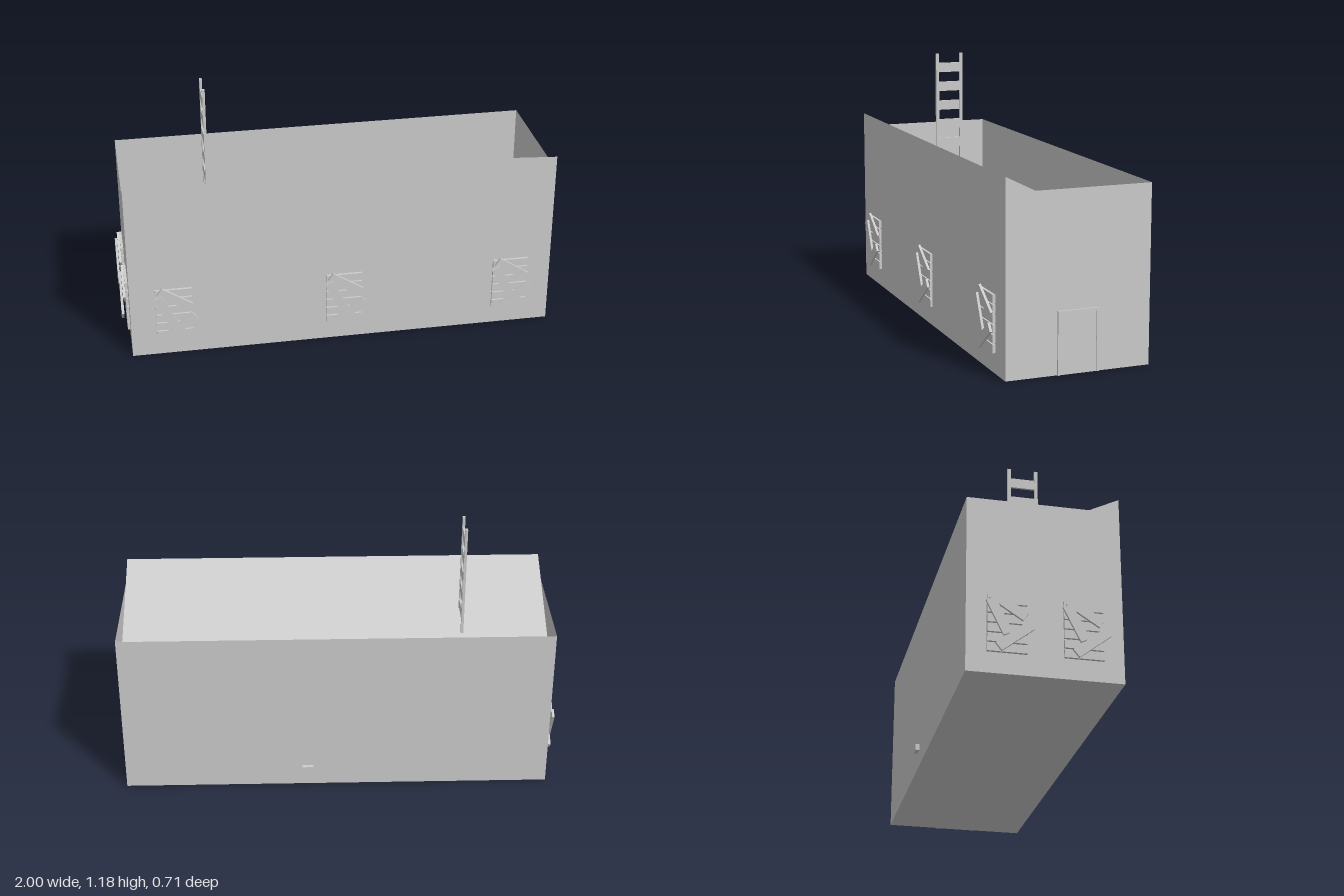
import * as THREE from 'three';

const X0 = -0.965, X1 = 0.992, ZF = 0.318, ZB = -0.335;
const WALL = 0.785, RIDGE = 0.85, SLOPE = 0.5;
const ROOF_BACK = RIDGE - SLOPE * (ZF - ZB);

const solid = new THREE.MeshStandardMaterial({ color: 0xcccccc });
const sheet = new THREE.MeshStandardMaterial({ color: 0xcccccc, side: THREE.DoubleSide });

function box(parent, name, size, pos, angle = 0) {
  const m = new THREE.Mesh(new THREE.BoxGeometry(...size), solid);
  m.name = name;
  m.position.set(...pos);
  m.rotation.z = angle;
  parent.add(m);
  return m;
}

// Flat panel spanning xa..xb between two (y, z) edges
function panel(parent, name, xa, xb, [y0, z0], [y1, z1]) {
  const g = new THREE.BufferGeometry();
  g.setAttribute('position', new THREE.Float32BufferAttribute(
    [xa, y0, z0, xb, y0, z0, xb, y1, z1, xa, y1, z1], 3));
  g.setIndex([0, 1, 2, 0, 2, 3]);
  g.computeVertexNormals();
  const m = new THREE.Mesh(g, sheet);
  m.name = name;
  parent.add(m);
}

// Thin-walled building with a shed roof sunk behind the back and end walls
function makeBuilding() {
  const g = new THREE.Group();
  g.name = 'building';
  panel(g, 'frontWall', X0, X1, [0, ZF], [RIDGE, ZF]);
  panel(g, 'backWall', X1, X0, [0, ZB], [WALL, ZB]);
  panel(g, 'floor', X0, X1, [0, ZB], [0, ZF]);
  // Roof in two panels meeting at a seam
  panel(g, 'roofRight', X0, -0.4, [RIDGE, ZF], [ROOF_BACK, ZB]);
  panel(g, 'roofLeft', -0.4, X1, [RIDGE, ZF], [ROOF_BACK, ZB]);
  // End walls; shape x runs along -z
  const kink = ZF - (RIDGE - WALL) / SLOPE;
  const profile = new THREE.Shape([
    [-ZF, 0], [-ZB, 0], [-ZB, WALL], [-kink, WALL], [-ZF, RIDGE],
  ].map(p => new THREE.Vector2(...p)));
  for (const [name, x] of [['leftEndWall', X1], ['rightEndWall', X0]]) {
    const m = new THREE.Mesh(new THREE.ShapeGeometry(profile), sheet);
    m.name = name;
    m.rotation.y = Math.PI / 2;
    m.position.x = x;
    g.add(m);
  }
  return g;
}

// Boarded window facing +z, centred on its own origin at the wall surface
function makeWindow() {
  const g = new THREE.Group();
  g.name = 'boardedWindow';
  for (let i = 0; i < 6; i++) {
    box(g, 'slat', [0.165, 0.037, 0.012], [0, -0.106 + i * 0.0425, 0.007]);
  }
  const deg = Math.PI / 180;
  box(g, 'upperBoard', [0.165, 0.042, 0.011], [0.005, 0.078, 0.0185], -33 * deg);
  box(g, 'steepBoard', [0.165, 0.042, 0.011], [-0.037, 0.022, 0.0295], -64 * deg);
  box(g, 'lowerBoard', [0.17, 0.042, 0.011], [0.027, -0.06, 0.0295], 38 * deg);
  return g;
}

// Flat ladder rising out of the roof
function makeLadder() {
  const g = new THREE.Group();
  g.name = 'ladder';
  const top = 1.185, bottom = 0.62, x = -0.572;
  for (const z of [0.055, -0.068]) {
    box(g, 'rail', [0.012, top - bottom, 0.015], [x, (top + bottom) / 2, z]);
  }
  for (let i = 0; i < 5; i++) {
    box(g, 'rung', [0.01, 0.046, 0.11], [x, 1.115 - i * 0.0935, -0.0065]);
  }
  return g;
}

// Door with a raised frame on the left end wall
function makeDoor() {
  const g = new THREE.Group();
  g.name = 'door';
  const z0 = 0.087, z1 = -0.1, h = 0.275, t = 0.012, zc = (z0 + z1) / 2;
  box(g, 'doorPanel', [0.004, h - t, z0 - z1 - 2 * t], [X1 + 0.001, (h - t) / 2, zc]);
  box(g, 'lintel', [0.008, t, z0 - z1], [X1 + 0.004, h - t / 2, zc]);
  for (const z of [z0 - t / 2, z1 + t / 2]) {
    box(g, 'jamb', [0.008, h - t, t], [X1 + 0.004, (h - t) / 2, z]);
  }
  return g;
}

export function createModel() {
  const model = new THREE.Group();
  model.name = 'boardedWarehouse';
  model.add(makeBuilding(), makeLadder(), makeDoor());

  // Front windows
  for (const x of [-0.767, 0.014, 0.8]) {
    const w = makeWindow();
    w.position.set(x, 0.215, ZF);
    model.add(w);
  }
  // Windows on the right end wall
  for (const z of [-0.167, 0.15]) {
    const w = makeWindow();
    w.position.set(X0, 0.215, z);
    w.rotation.y = -Math.PI / 2;
    model.add(w);
  }
  // Small vent on the back wall
  box(model, 'backVent', [0.05, 0.028, 0.018], [0.147, 0.09, ZB - 0.009]);
  return model;
}
